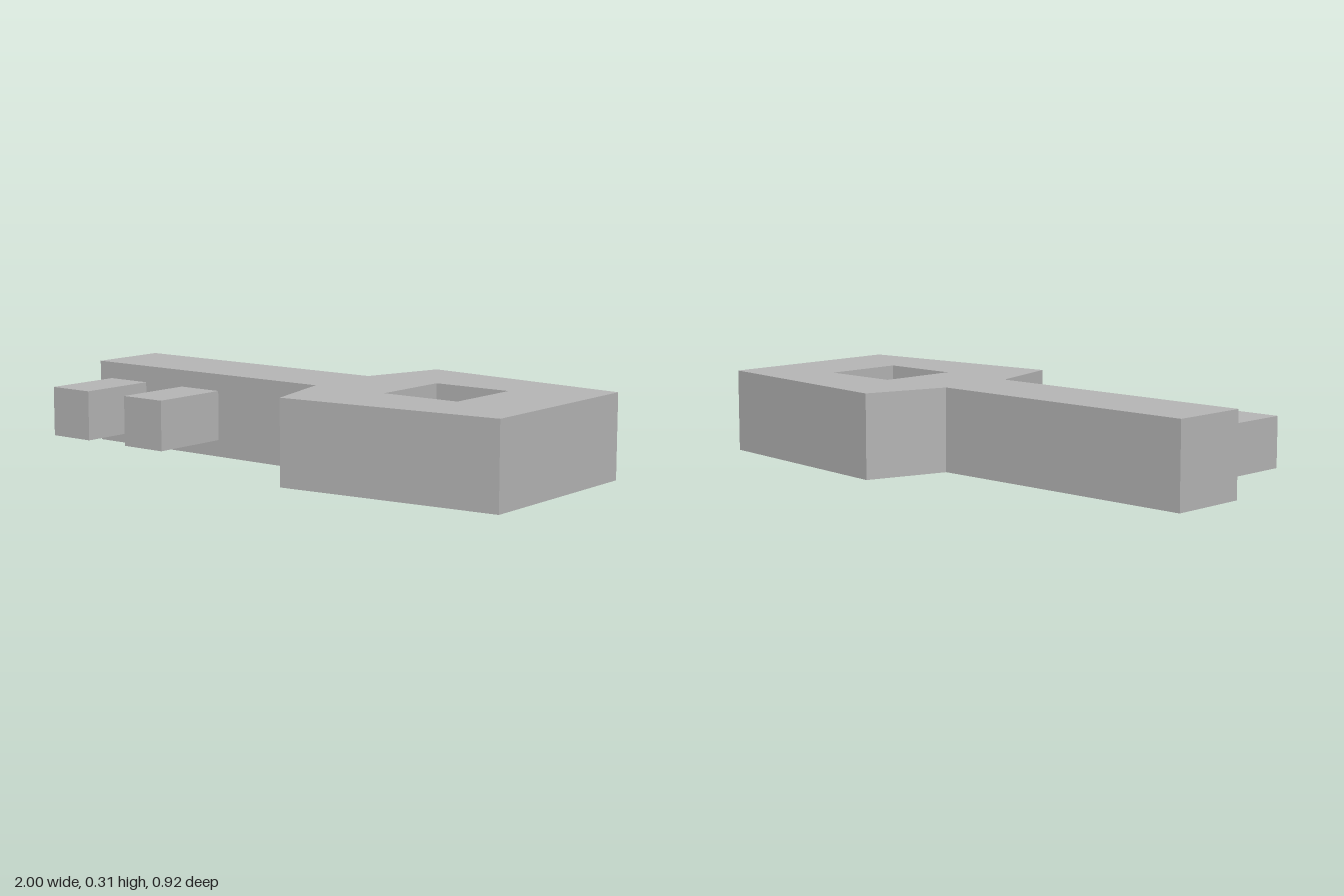
import * as THREE from 'three';

const HEIGHT = 0.31;

export function createModel() {
  const model = new THREE.Group();
  model.name = 'key';
  const grey = new THREE.MeshStandardMaterial({ color: 0xb4b4b4 });
  grey.name = 'grey';

  // Mirrored outline of shaft and flared bow, drawn in plan
  const half = [[-1, 0.153], [0.077, 0.153], [0.168, 0.46], [1, 0.368]];
  const mirrored = half.map(([x, z]) => [x, -z]).reverse();
  const toPoints = (list) => list.map(([x, z]) => new THREE.Vector2(x, z));
  const outline = new THREE.Shape(toPoints([...half, ...mirrored]));

  // Square hole through the bow
  outline.holes.push(new THREE.Path(toPoints(
    [[0.382, -0.156], [0.688, -0.156], [0.688, 0.156], [0.382, 0.156]])));

  const bodyGeometry = new THREE.ExtrudeGeometry(outline, { depth: HEIGHT, bevelEnabled: false });
  bodyGeometry.rotateX(-Math.PI / 2);
  const body = new THREE.Mesh(bodyGeometry, grey);
  body.name = 'shaftAndBow';
  model.add(body);

  // Two teeth on the front side of the shaft
  [-0.848, -0.479].forEach((x, i) => {
    const tooth = new THREE.Mesh(new THREE.BoxGeometry(0.184, 0.184, 0.307), grey);
    tooth.position.set(x, HEIGHT / 2, 0.3065);
    tooth.name = i === 0 ? 'outerTooth' : 'innerTooth';
    model.add(tooth);
  });

  return model;
}
